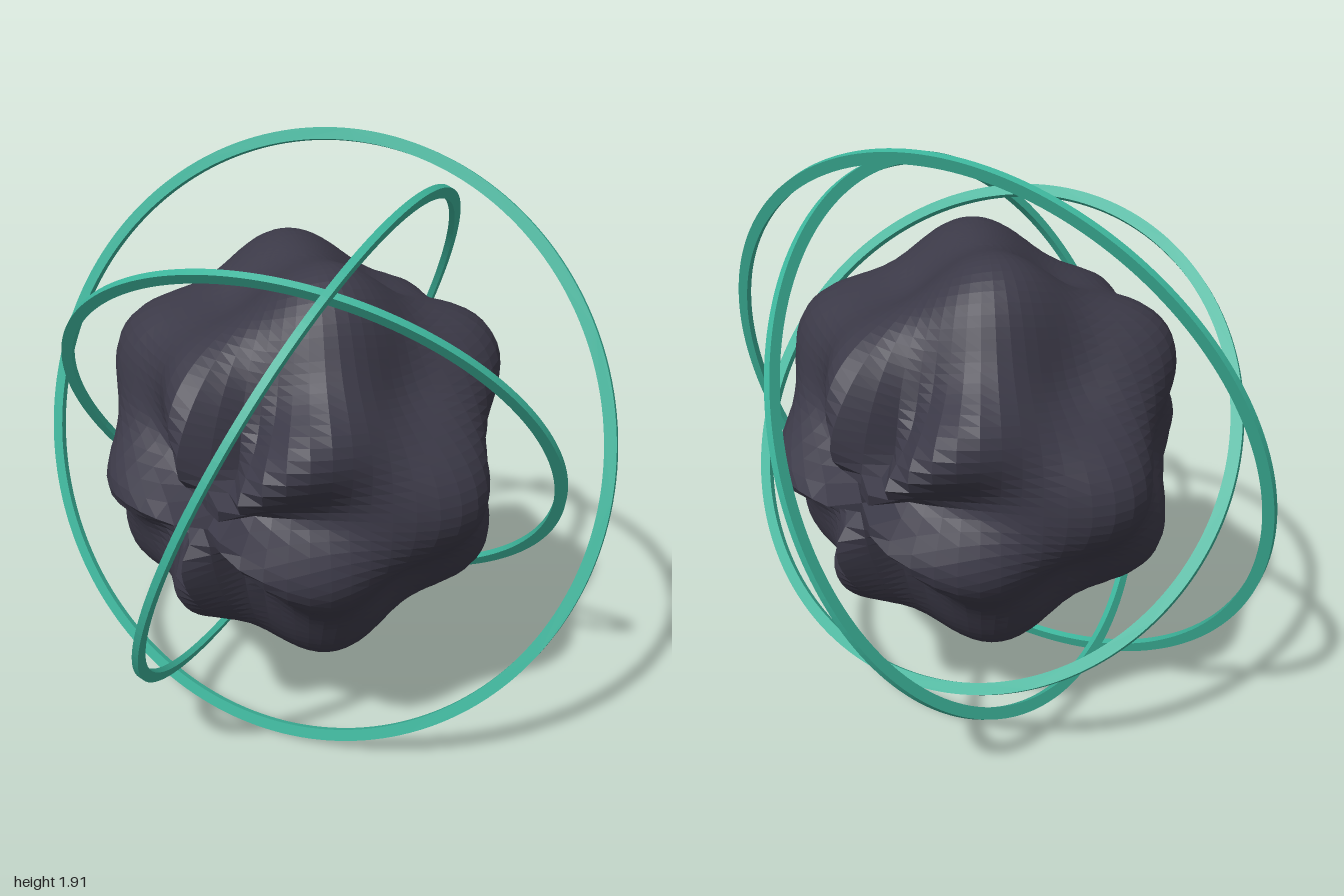
import * as THREE from 'three';

const CENTER_Y = 0.957;

// Sphere rippled into five lobes around the z axis, alternating along its length
function rippledSphere(radius, amplitude, frequency) {
  const geometry = new THREE.SphereGeometry(1, 64, 64);
  const position = geometry.attributes.position;
  const p = new THREE.Vector3();
  for (let i = 0; i < position.count; i++) {
    p.fromBufferAttribute(position, i);
    const around = Math.atan2(p.y, p.x);
    const ripple = Math.cos(frequency * around) * Math.sin(frequency * p.z);
    p.multiplyScalar(radius + amplitude * ripple);
    position.setXYZ(i, p.x, p.y, p.z);
  }
  geometry.computeVertexNormals();
  return geometry;
}

// Flat band of rectangular section lying in the xy plane
function bandGeometry(radius, width, depth) {
  const shape = new THREE.Shape().absarc(0, 0, radius + width / 2, 0, Math.PI * 2);
  shape.holes.push(new THREE.Path().absarc(0, 0, radius - width / 2, 0, Math.PI * 2, true));
  const geometry = new THREE.ExtrudeGeometry(shape, { depth, bevelEnabled: false, curveSegments: 96 });
  return geometry.translate(0, 0, -depth / 2);
}

export function createModel() {
  const coreMaterial = new THREE.MeshStandardMaterial({ color: 0x3b3947, flatShading: true });
  coreMaterial.name = 'dark slate';
  const ringMaterial = new THREE.MeshStandardMaterial({ color: 0x3cb39a });
  ringMaterial.name = 'sea green';

  const model = new THREE.Group();
  model.name = 'ringedCore';

  // Lumpy core
  const core = new THREE.Mesh(rippledSphere(0.62, 0.075, 5), coreMaterial);
  core.name = 'core';
  core.position.y = CENTER_Y;
  model.add(core);

  // Three tilted rings, each given by its radius and the axis it circles
  const rings = [
    ['outerRing', 0.981, [0.024, 0.3, 0.953]],
    ['middleRing', 0.906, [0.916, -0.4, -0.04]],
    ['innerRing', 0.832, [0.077, -0.574, 0.815]],
  ];
  const forward = new THREE.Vector3(0, 0, 1);
  for (const [name, radius, axis] of rings) {
    const ring = new THREE.Mesh(bandGeometry(radius, 0.037, 0.022), ringMaterial);
    ring.name = name;
    ring.quaternion.setFromUnitVectors(forward, new THREE.Vector3(...axis).normalize());
    ring.position.y = CENTER_Y;
    model.add(ring);
  }
  return model;
}
